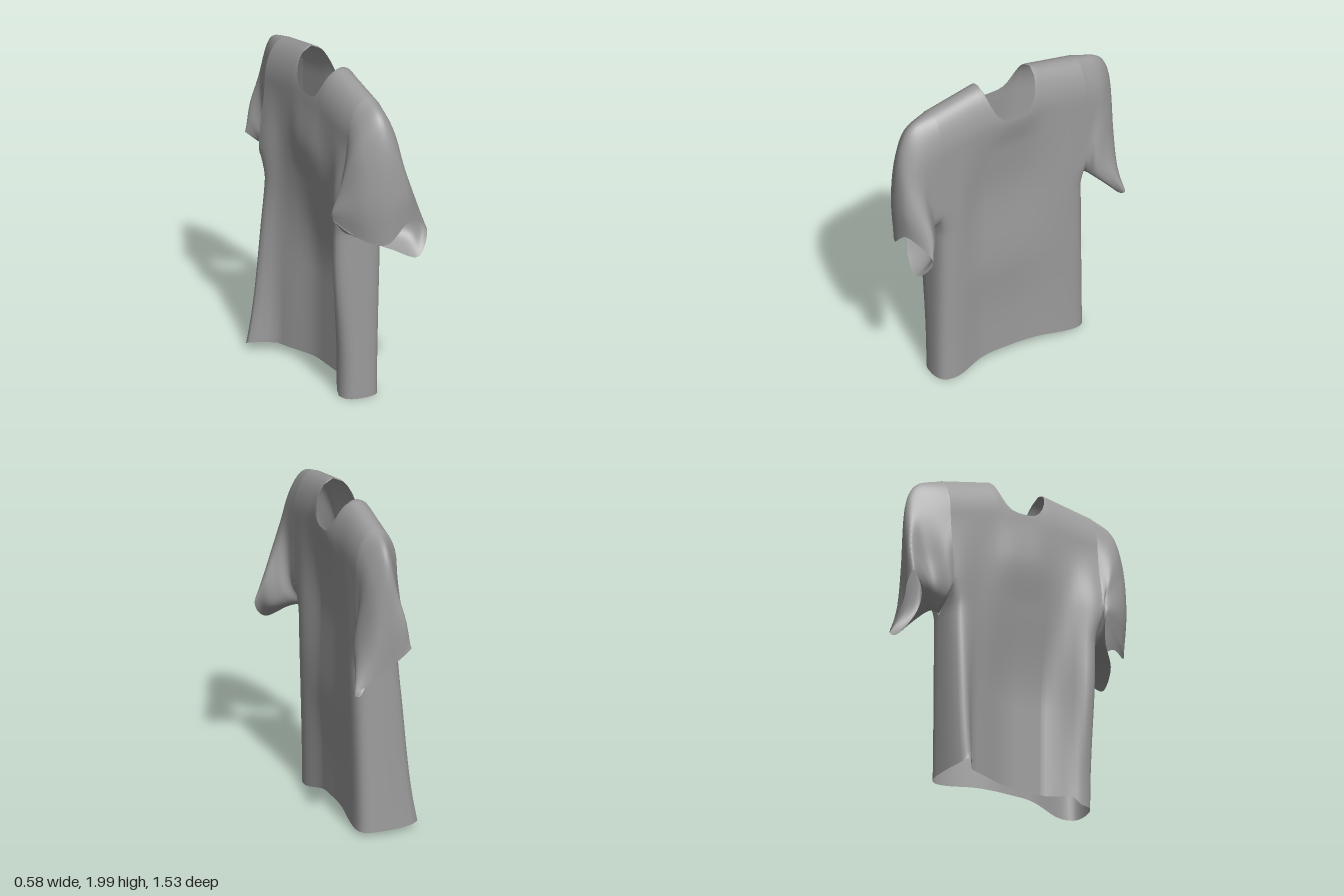
import * as THREE from 'three';
import { mergeGeometries, mergeVertices } from 'three/addons/utils/BufferGeometryUtils.js';

const { smoothstep, lerp } = THREE.MathUtils;

// Grid surface: f(row, col) returns [x, y, z]; faces point along row x column
function grid(rows, cols, f) {
  const pos = [], index = [];
  for (let r = 0; r < rows; r++) {
    for (let c = 0; c < cols; c++) {
      pos.push(...f(r, c));
      if (r === rows - 1 || c === cols - 1) continue;
      const a = r * cols + c, d = a + cols;
      index.push(a, d, a + 1, a + 1, d, d + 1);
    }
  }
  const geo = new THREE.BufferGeometry();
  geo.setAttribute('position', new THREE.Float32BufferAttribute(pos, 3));
  geo.setIndex(index);
  return geo;
}

function weld(geo) {
  const g = mergeVertices(geo, 1e-4);
  g.computeVertexNormals();
  return g;
}

const armpitY = 1.08;
const ridgeY = z => 1.995 - 0.21 * Math.max(0, Math.abs(z) - 0.18);
const bump = (v, mid, reach) => 1 - smoothstep(Math.abs(v - mid), 0, reach);

// Depth of the cloth at (z, y); side = 1 is the chest (+x), -1 the other face
function bodyX(side, z, y) {
  const a = Math.abs(z);
  const middle = z > 0 ? 1 - smoothstep(z, 0.18, 0.4) : 1 - smoothstep(a, 0.02, 0.39);
  let depth;
  if (side > 0) {
    const collar = (1 - smoothstep(a, 0.05, 0.25)) * smoothstep(y, 1.55, 1.77);
    const dent = 0.045 * bump(y, 1.2, 0.6) + 0.035 * (1 - smoothstep(y, 0.3, 1.2));
    depth = 0.1 + 0.022 * smoothstep(y, 0, 1.3) + 0.02 * collar - dent * middle;
  } else {
    // flared fold at one hem corner, swelling towards the armholes
    const fold = bump(z, -0.45, 0.12) * Math.max(0, 1 - y / 1.1) ** 1.4;
    const swell = smoothstep(a, 0.28, 0.46) * smoothstep(y, 0.1, 0.9) * (1 - smoothstep(y, 1.25, 1.7));
    const upper = (1 - smoothstep(a, 0.05, 0.25)) * bump(y, 1.5, 0.3);
    const hollow = middle * (1 - smoothstep(y, 0.6, 1.5));
    depth = 0.135 + 0.175 * fold + (z > 0 ? 0.06 : 0.04) * swell + 0.02 * upper - 0.105 * hollow;
  }
  // rounded shoulder, rounded sides below the armhole
  const s = Math.min(1, Math.max(0, (y - ridgeY(z) + 0.25) / 0.25));
  const edge = Math.sqrt(Math.max(0, 1 - (a / 0.5) ** 18));
  const open = Math.sqrt(smoothstep(y, armpitY, 1.25));
  return -0.01 + side * depth * Math.sqrt(1 - s * s) * lerp(edge, 1, open);
}

function hemY(side, z) {
  const a = Math.abs(z);
  if (side > 0) return z > 0 ? 0.06 - 0.055 * smoothstep(a, 0.1, 0.42) : 0.06 - 0.035 * smoothstep(a, 0.15, 0.48);
  return z > 0 ? 0.055 - 0.05 * smoothstep(a, 0.34, 0.4) : 0.055 - 0.03 * smoothstep(a, 0.4, 0.5);
}

// One cloth panel of the body
const halfZ = [0.04, 0.08, 0.11, 0.135, 0.15, 0.16, 0.167, 0.173, 0.18, 0.21, 0.25, 0.3, 0.34, 0.37, 0.4, 0.425, 0.45, 0.47, 0.483, 0.491, 0.497, 0.5];
const columns = [...halfZ.map(z => -z).reverse(), 0, ...halfZ];

function panel(side) {
  const rows = 60, n = columns.length;
  return grid(rows, n, (r, c) => {
    const z = columns[side > 0 ? c : n - 1 - c], a = Math.abs(z);
    const t = 1 - (1 - r / (rows - 1)) ** 1.7;
    // shoulder ridge or scooped neckline
    const low = side > 0 ? 1.77 : 1.785;
    const top = a < 0.18 ? low + (1.995 - low) * (a / 0.18) ** 3.6 : ridgeY(z);
    const y = lerp(hemY(side, z), top, t);
    const flare = 1 + (z < 0 ? 0.04 : -0.015) * Math.max(0, 1 - y / armpitY);
    return [bodyX(side, z, y), y, z * flare];
  });
}

// Point on the armhole seam: u runs from the shoulder over the chest to the armpit and back
function armhole(u, z) {
  const y = lerp(armpitY, ridgeY(z), (1 + Math.cos(u * Math.PI * 2)) / 2);
  return new THREE.Vector3(bodyX(u <= 0.5 ? 1 : -1, z, y), y, z);
}

// Sleeve loops from seam to cuff: top, chest side, armpit, other side
const frontLoops = [
  [[-0.01, 1.87, 0.65], [0.09, 1.73, 0.65], [0.12, 1.45, 0.6], [0.1, 1.18, 0.55],
    [0, 1.08, 0.53], [-0.19, 1.13, 0.5], [-0.205, 1.38, 0.52], [-0.135, 1.73, 0.62]],
  [[-0.01, 1.73, 0.725], [0.09, 1.6, 0.725], [0.165, 1.38, 0.64], [0.15, 1.14, 0.575],
    [0.01, 1.07, 0.56], [-0.2, 1.12, 0.5], [-0.225, 1.31, 0.5], [-0.145, 1.53, 0.665]],
  [[-0.01, 1.38, 0.765], [0.12, 1.38, 0.76], [0.235, 1.24, 0.65], [0.21, 1.06, 0.63],
    [0.03, 1.05, 0.62], [-0.18, 1.11, 0.51], [-0.25, 1.24, 0.5], [-0.15, 1.3, 0.68]],
  [[-0.02, 1.08, 0.75], [0.13, 1.2, 0.755], [0.29, 1.085, 0.675], [0.2, 0.955, 0.735],
    [0.04, 1.02, 0.7], [-0.15, 1.1, 0.55], [-0.245, 1.19, 0.5], [-0.13, 1.1, 0.67]]];

const backLoops = [
  [[-0.01, 1.875, -0.65], [0.085, 1.73, -0.62], [0.11, 1.45, -0.54], [0.1, 1.18, -0.52],
    [0, 1.1, -0.52], [-0.14, 1.15, -0.52], [-0.14, 1.42, -0.54], [-0.09, 1.73, -0.6]],
  [[-0.01, 1.77, -0.715], [0.07, 1.62, -0.68], [0.13, 1.36, -0.56], [0.125, 1.14, -0.54],
    [0.02, 1.11, -0.54], [-0.09, 1.16, -0.56], [-0.085, 1.38, -0.63], [-0.07, 1.63, -0.69]],
  [[-0.01, 1.43, -0.74], [0.07, 1.35, -0.71], [0.15, 1.2, -0.61], [0.145, 1.07, -0.6],
    [0.04, 1.1, -0.57], [-0.06, 1.17, -0.6], [-0.12, 1.34, -0.72], [-0.09, 1.45, -0.755]],
  [[0, 1.13, -0.73], [0.1, 1.05, -0.72], [0.2, 0.99, -0.71], [0.16, 0.965, -0.69],
    [0.05, 1.08, -0.62], [-0.05, 1.17, -0.64], [-0.14, 1.25, -0.75], [-0.08, 1.2, -0.755]]];

// Sleeve lofted from the seam at depth z through its loops
function sleeve(z, loops) {
  const rows = 25, cols = 65;
  const curves = loops.map(l => new THREE.CatmullRomCurve3(l.map(p => new THREE.Vector3(...p)), true, 'centripetal'));
  const lines = Array.from({ length: cols }, (_, c) => {
    const u = (z < 0 ? cols - 1 - c : c) / (cols - 1);
    return new THREE.CatmullRomCurve3([armhole(u, z), ...curves.map(k => k.getPoint(u % 1))], false, 'centripetal');
  });
  return weld(grid(rows, cols, (r, c) => lines[c].getPoint(r / (rows - 1)).toArray()));
}

export function createModel() {
  const cloth = new THREE.MeshStandardMaterial({ color: 0x9c9c9c, side: THREE.DoubleSide });
  const shirt = new THREE.Group();
  shirt.name = 'shirt';
  const add = (name, geo) => {
    const mesh = new THREE.Mesh(geo, cloth);
    mesh.name = name;
    shirt.add(mesh);
  };
  add('body', weld(mergeGeometries([panel(1), panel(-1)])));
  add('frontSleeve', sleeve(0.5, frontLoops));
  add('backSleeve', sleeve(-0.5, backLoops));
  return shirt;
}
